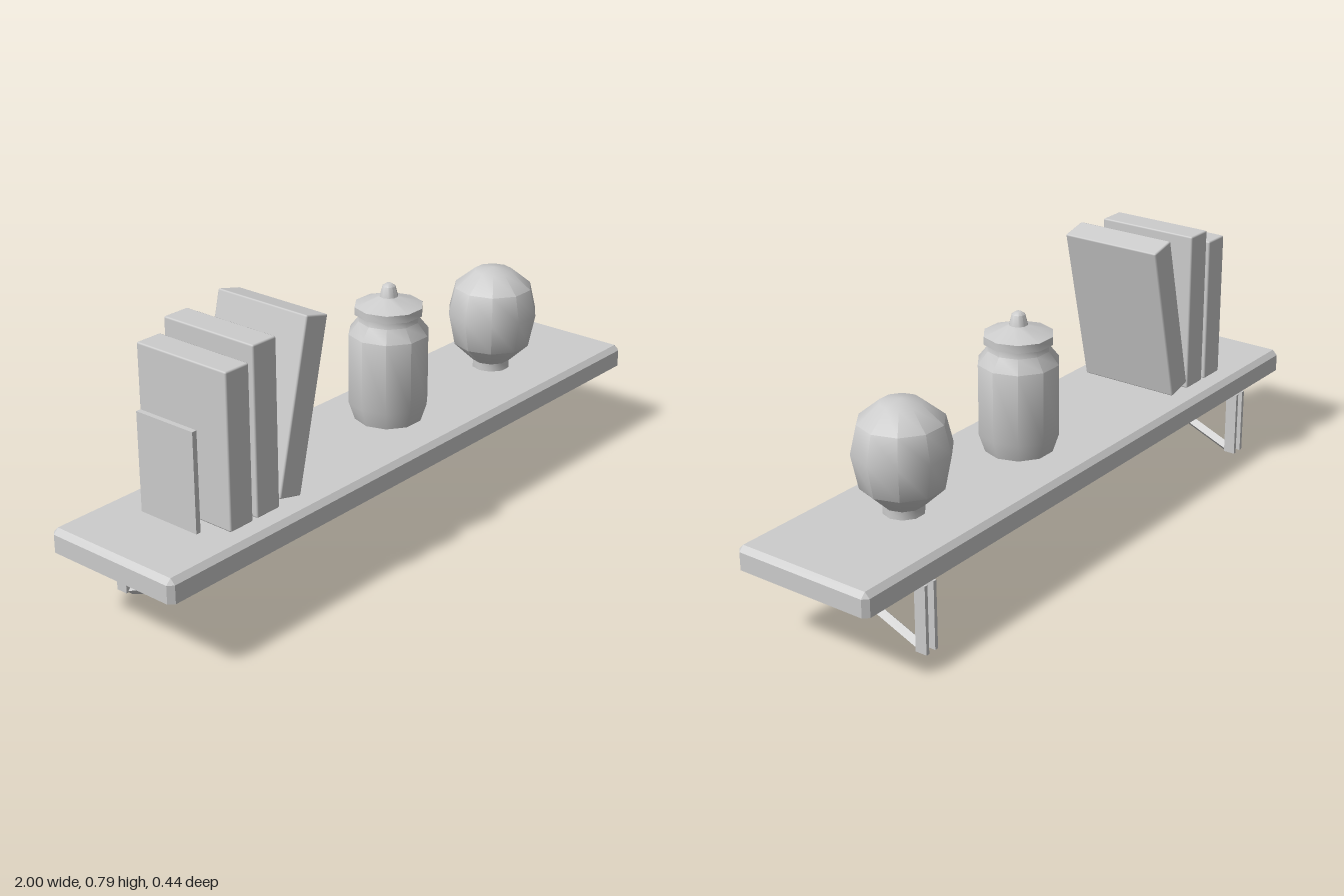
import * as THREE from 'three';
import { toCreasedNormals } from 'three/addons/utils/BufferGeometryUtils.js';
import { RoundedBoxGeometry } from 'three/addons/geometries/RoundedBoxGeometry.js';
import { ConvexGeometry } from 'three/addons/geometries/ConvexGeometry.js';

const grey = new THREE.MeshStandardMaterial({ color: 0xcccccc });
grey.name = 'plain grey';

function part(name, geometry, x = 0, y = 0, z = 0) {
  const mesh = new THREE.Mesh(geometry, grey);
  mesh.name = name;
  mesh.position.set(x, y, z);
  return mesh;
}

// Board with chamfered upright corners and a chamfered top rim
function boardGeometry() {
  const X = 1, Z = 0.22, c = 0.015, points = [];
  for (const sx of [-1, 1]) for (const sz of [-1, 1]) {
    for (const y of [0.223, 0.275]) {
      points.push(new THREE.Vector3(sx * X, y, sz * (Z - c)));
      points.push(new THREE.Vector3(sx * (X - c), y, sz * Z));
    }
    points.push(new THREE.Vector3(sx * (X - c), 0.29, sz * (Z - c)));
  }
  return new ConvexGeometry(points);
}

// Ten-sided turned shape from [radius, height] pairs
function turned(profile) {
  const points = profile.map(([r, y]) => new THREE.Vector2(r, y));
  return toCreasedNormals(new THREE.LatheGeometry(points, 10, Math.PI / 2), 0.75);
}

// Bent bar with a diamond section, swept along [z, y] stations
function strutGeometry() {
  const path = [[0.157, 0.214], [0, 0.096], [-0.19, 0.019]].map(p => new THREE.Vector2(...p));
  const r = 0.016, pos = [], index = [];
  path.forEach((p, i) => {
    const dir = path[Math.min(i + 1, 2)].clone().sub(path[Math.max(i - 1, 0)]).normalize();
    const nz = dir.y * r, ny = -dir.x * r; // upward normal of the path
    pos.push(r, p.y, p.x, 0, p.y + ny, p.x + nz, -r, p.y, p.x, 0, p.y - ny, p.x - nz);
  });
  for (let i = 0; i < 2; i++) for (let j = 0; j < 4; j++) {
    const a = i * 4 + j, b = i * 4 + (j + 1) % 4;
    index.push(a, a + 4, b, b, a + 4, b + 4);
  }
  index.push(0, 1, 2, 0, 2, 3, 8, 10, 9, 8, 11, 10);
  const g = new THREE.BufferGeometry();
  g.setAttribute('position', new THREE.Float32BufferAttribute(pos, 3));
  g.setIndex(index);
  const flat = g.toNonIndexed();
  flat.computeVertexNormals();
  return flat;
}

// Wall channel, open at the back, with the strut
function bracket(name, x) {
  const group = new THREE.Group();
  group.name = name;
  group.position.x = x;
  group.add(part('channelWeb', new THREE.BoxGeometry(0.024, 0.2, 0.01), 0, 0.117, -0.188));
  for (const s of [-1, 1]) {
    group.add(part('channelFlange', new THREE.BoxGeometry(0.011, 0.2, 0.036), s * 0.0175, 0.117, -0.201));
  }
  group.add(part('strut', strutGeometry()));
  return group;
}

export function createModel() {
  const model = new THREE.Group();
  model.name = 'wallShelf';
  model.add(part('board', boardGeometry()));
  model.add(bracket('rightBracket', -0.763), bracket('leftBracket', 0.757));

  // Books: [x, y, width, height, lean]
  const books = [
    [-0.684, 0.513, 0.083, 0.442, 0],
    [-0.584, 0.534, 0.085, 0.482, 0],
    [-0.442, 0.545, 0.083, 0.494, -0.235],
  ];
  books.forEach(([x, y, w, h, lean], i) => {
    const book = part('book' + (i + 1), new RoundedBoxGeometry(w, h, 0.316, 1, 0.005), x, y, 0);
    book.rotation.z = lean;
    model.add(book);
  });
  model.add(part('bookend', new THREE.BoxGeometry(0.015, 0.285, 0.2), -0.783, 0.437, 0));

  // Lidded jar
  model.add(part('jar', turned([
    [0, 0.291], [0.1, 0.291], [0.118, 0.345], [0.118, 0.555], [0.089, 0.592], [0.089, 0.614],
  ]), 0.097));
  model.add(part('jarLid', turned([
    [0, 0.613], [0.1, 0.613], [0.1, 0.636], [0.027, 0.662], [0.019, 0.692], [0.008, 0.7], [0, 0.701],
  ]), 0.097));

  // Round vase on a short foot
  model.add(part('vase', turned([
    [0, 0.291], [0.058, 0.291], [0.058, 0.315], [0.118, 0.372], [0.138, 0.472],
    [0.119, 0.553], [0.058, 0.603], [0, 0.612],
  ]), 0.598));
  return model;
}
